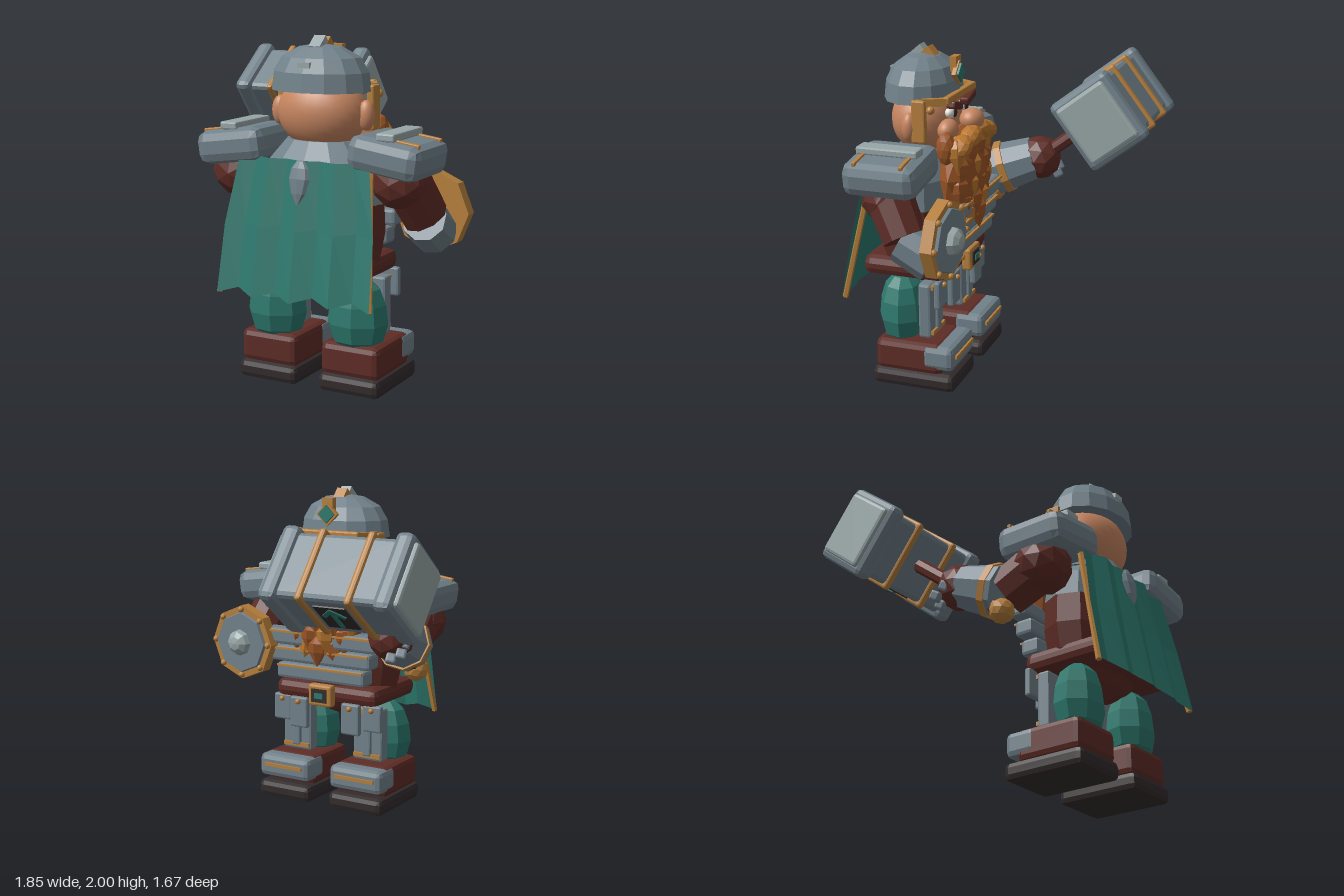
import * as THREE from 'three';
import { RoundedBoxGeometry } from 'three/addons/geometries/RoundedBoxGeometry.js';

const paint = (name, color, extra = {}) => Object.assign(new THREE.MeshStandardMaterial({ color, ...extra }), { name });

export function createModel() {
  const steel = paint('steel', 0x71818a);
  const pale = paint('paleSteel', 0x98a6a7);
  const gold = paint('gold', 0xb67f3c);
  const leather = paint('leather', 0x5e2c26);
  const teal = paint('teal', 0x2d786d, { side: THREE.DoubleSide });
  const skin = paint('skin', 0xc68560);
  const ginger = paint('ginger', 0x9c5526);
  const blond = paint('blond', 0xb8762f);
  const dark = paint('dark', 0x332b2c);
  const white = paint('eyeWhite', 0xe4e2da);

  const model = new THREE.Group();
  model.name = 'hammerWarrior';
  const body = new THREE.Group(); // character, mirrored about its own centre line
  body.name = 'body';
  body.position.x = 0.132;
  model.add(body);

  // Faceted normals for the low-poly parts
  const flat = (g) => {
    const f = g.index ? g.toNonIndexed() : g;
    f.computeVertexNormals();
    return f;
  };
  const add = (parent, name, geo, mat, p, r = [0, 0, 0], s = [1, 1, 1]) => {
    const m = new THREE.Mesh(geo, mat);
    m.name = name;
    m.position.set(...p);
    m.rotation.set(...r);
    m.scale.set(...s);
    parent.add(m);
    return m;
  };
  const rbox = (w, h, d, r = 0.02) => flat(new RoundedBoxGeometry(w, h, d, 1, r));
  const box = (w, h, d) => new THREE.BoxGeometry(w, h, d);
  const smoothBall = new THREE.SphereGeometry(1, 28, 18);
  const rock = flat(new THREE.IcosahedronGeometry(1, 1));
  const limb = (parent, name, a, b, ra, rb, mat, sides = 9) => {
    const A = new THREE.Vector3(...a), B = new THREE.Vector3(...b);
    const m = add(parent, name, flat(new THREE.CylinderGeometry(rb, ra, A.distanceTo(B), sides)), mat,
      A.clone().add(B).multiplyScalar(0.5).toArray());
    m.quaternion.setFromUnitVectors(new THREE.Vector3(0, 1, 0), B.clone().sub(A).normalize());
    return m;
  };
  const lathe = (pts, n) => flat(new THREE.LatheGeometry(pts.map((q) => new THREE.Vector2(...q)), n));

  // Torso: leather below, steel breastplate above
  add(body, 'tunic', lathe([[0.001, 0.53], [0.22, 0.6], [0.37, 0.75], [0.4, 0.9], [0.39, 1.08]], 12), leather, [0, 0, 0.455], [0, 0, 0], [1, 1, 0.63]);
  add(body, 'breastplate', lathe([[0.39, 1.08], [0.36, 1.24], [0.25, 1.38], [0.17, 1.43], [0.001, 1.43]], 12), steel, [0, 0, 0.445], [0, 0, 0], [1, 1, 0.6]);
  add(body, 'collar', flat(new THREE.CylinderGeometry(0.21, 0.33, 0.13, 12)), steel, [0, 1.355, 0.46], [0, 0, 0], [1, 1, 0.62]);
  for (let i = 0; i < 3; i++) {
    const y = 0.85 + i * 0.11, w = 0.64 + i * 0.09;
    add(body, 'bellyPlate', rbox(w, 0.1, 0.12, 0.02), steel, [0, y, 0.2 - i * 0.01]);
    add(body, 'bellyTrim', box(w - 0.02, 0.012, 0.02), gold, [0, y + 0.035, 0.137 - i * 0.01]);
  }

  // Belt and buckle
  add(body, 'belt', rbox(0.74, 0.12, 0.52, 0.045), leather, [0, 0.72, 0.46]);
  add(body, 'buckle', rbox(0.17, 0.14, 0.06, 0.015), gold, [0, 0.715, 0.17]);
  add(body, 'buckleInset', box(0.11, 0.085, 0.008), dark, [0, 0.715, 0.137]);
  add(body, 'buckleGem', box(0.06, 0.035, 0.008), teal, [0, 0.715, 0.131]);

  // Pleated cape with gold edges and a clasp
  const cols = 9, pos = [], idx = [];
  for (let j = 0; j < 3; j++) for (let i = 0; i < cols; i++) {
    const t = j / 2, u = i / 4 - 1, peak = i % 2 === 0;
    pos.push(u * (0.485 - 0.075 * t ** 2.5), (peak ? 0.55 : 0.585) * (1 - t) + 1.325 * t,
      0.83 - 0.145 * t - (peak ? 0 : 0.05 - 0.02 * t) - 0.025 * u * u);
  }
  for (let j = 0; j < 2; j++) for (let i = 0; i < cols - 1; i++) {
    const a = j * cols + i;
    idx.push(a, a + 1, a + cols, a + 1, a + cols + 1, a + cols);
  }
  const capeGeo = new THREE.BufferGeometry();
  capeGeo.setAttribute('position', new THREE.Float32BufferAttribute(pos, 3));
  capeGeo.setIndex(idx);
  add(body, 'cape', flat(capeGeo), teal, [0, 0, 0]);
  add(body, 'capeClasp', lathe([[0.001, -0.13], [0.045, -0.06], [0.066, 0.02], [0.055, 0.08], [0.025, 0.12], [0.001, 0.125]], 8), steel, [0, 1.205, 0.705], [-0.18, 0, 0], [1, 1, 0.4]);

  // Head
  add(body, 'head', smoothBall, skin, [0, 1.57, 0.435], [0, 0, 0], [0.268, 0.215, 0.198]);
  add(body, 'nose', smoothBall, skin, [0, 1.57, 0.155], [0, 0, 0], [0.08, 0.065, 0.072]);

  // Helmet
  add(body, 'helmet', lathe([[0.001, 1.695], [0.3, 1.695], [0.285, 1.8], [0.235, 1.88], [0.13, 1.935], [0.001, 1.955]], 14), steel, [0, 0, 0.45], [0, 0, 0], [1, 1, 0.74]);
  add(body, 'crestBack', box(0.072, 0.09, 0.09), pale, [0, 1.935, 0.468], [0.7, 0, 0]);
  add(body, 'crestFront', box(0.074, 0.085, 0.085), gold, [0, 1.93, 0.415], [0.7, 0, 0]);
  add(body, 'helmetStud', box(0.075, 0.03, 0.03), pale, [0, 1.845, 0.635]);
  add(body, 'browBand', rbox(0.46, 0.045, 0.04, 0.01), gold, [0, 1.72, 0.23]);
  add(body, 'browFinial', box(0.075, 0.13, 0.04), gold, [0, 1.875, 0.255]);
  add(body, 'browSetting', box(0.105, 0.105, 0.025), gold, [0, 1.84, 0.24], [0, 0, Math.PI / 4]);
  add(body, 'browGem', box(0.08, 0.08, 0.03), teal, [0, 1.84, 0.23], [0, 0, Math.PI / 4]);

  // Beard: broad mass covered with large pointed locks
  add(body, 'beardMass', rock, ginger, [0, 1.26, 0.2], [0, 0, 0], [0.295, 0.3, 0.12]);
  const lock = lathe([[0.001, -0.13], [0.06, -0.03], [0.075, 0.03], [0.05, 0.08], [0.001, 0.1]], 6);
  [[1.42, 5, 0.23], [1.31, 4, 0.2], [1.2, 5, 0.21], [1.1, 4, 0.155], [1.02, 3, 0.09]].forEach(([y, n, half], row) => {
    for (let i = 0; i < n; i++) {
      const u = (2 * i) / (n - 1) - 1;
      add(body, 'beardLock', lock, (i + 2 * row) % 3 === 1 ? blond : ginger, [u * half, y, 0.13 + 0.035 * u * u], [0.15, 0, u * 0.2], [1, 0.9, 0.85]);
    }
  });

  for (const s of [-1, 1]) {
    // Face sides
    add(body, 'ear', smoothBall, skin, [s * 0.275, 1.565, 0.435], [0, 0, 0], [0.05, 0.085, 0.045]);
    add(body, 'cheek', smoothBall, skin, [s * 0.14, 1.53, 0.25], [0, 0, 0], [0.08, 0.065, 0.06]);
    add(body, 'eye', smoothBall, white, [s * 0.1, 1.625, 0.25], [0, 0, 0], [0.045, 0.034, 0.03]);
    add(body, 'pupil', smoothBall, dark, [s * 0.095, 1.625, 0.225], [0, 0, 0], [0.024, 0.026, 0.012]);
    add(body, 'eyebrow', rbox(0.14, 0.045, 0.06, 0.012), leather, [s * 0.11, 1.672, 0.22], [0, 0, s * 0.25]);
    add(body, 'moustacheInner', rock, blond, [s * 0.09, 1.49, 0.13], [0, 0, -s * 0.3], [0.105, 0.06, 0.065]);
    add(body, 'moustacheOuter', rock, blond, [s * 0.21, 1.46, 0.145], [0, 0, -s * 0.5], [0.085, 0.055, 0.07]);
    add(body, 'sideburn', rock, ginger, [s * 0.255, 1.45, 0.22], [0, 0, 0], [0.05, 0.1, 0.06]);
    add(body, 'cheekGuard', rbox(0.045, 0.25, 0.085, 0.01), gold, [s * 0.287, 1.605, 0.37]);
    add(body, 'templeStud', rock, gold, [s * 0.285, 1.675, 0.3], [0, 0, 0], [0.025, 0.025, 0.025]);
    add(body, 'templeBand', box(0.03, 0.045, 0.14), gold, [s * 0.25, 1.715, 0.29], [0, s * 0.5, 0]);

    // Pauldron with ridge and trim
    const p = new THREE.Group();
    p.name = 'pauldron';
    p.position.set(s * 0.485, 1.368, 0.465);
    p.rotation.z = -s * 0.14;
    body.add(p);
    add(p, 'pauldronPlate', rbox(0.435, 0.195, 0.445, 0.06), steel, [0, 0, 0]);
    add(p, 'pauldronRidge', rbox(0.11, 0.045, 0.37, 0.01), pale, [-s * 0.005, 0.114, 0], [0, 0, s * 0.13]);
    for (const z of [-0.14, 0.14]) add(p, 'pauldronTrim', rbox(0.14, 0.025, 0.025, 0.006), gold, [s * 0.115, 0.097, z]);
    limb(body, 'capeEdge', [s * 0.478, 0.55, 0.785], [s * 0.4, 1.31, 0.625], 0.018, 0.018, gold, 5);

    // Legs, boots and shin armour
    const x = s * 0.263;
    add(body, 'trouserLeg', lathe([[0.09, 0.25], [0.15, 0.3], [0.178, 0.4], [0.165, 0.51], [0.13, 0.6], [0.07, 0.65], [0.001, 0.67]], 8), teal, [x, 0, 0.505], [0, 0.2, 0], [1, 1, 0.82]);
    add(body, 'sole', rbox(0.385, 0.11, 0.52, 0.035), dark, [x, 0.055, 0.38]);
    add(body, 'boot', rbox(0.365, 0.19, 0.42, 0.035), leather, [x, 0.195, 0.41]);
    add(body, 'toeCap', rbox(0.376, 0.15, 0.2, 0.035), steel, [x, 0.21, 0.225]);
    add(body, 'toeTrim', box(0.28, 0.022, 0.02), gold, [x, 0.22, 0.122]);
    add(body, 'shinGuard', rbox(0.21, 0.34, 0.08, 0.015), steel, [x, 0.47, 0.33]);
    add(body, 'shinRidge', rbox(0.06, 0.28, 0.03, 0.01), steel, [x, 0.47, 0.285]);
    for (const y of [0.335, 0.62]) add(body, 'shinTrim', box(0.19, 0.025, 0.03), gold, [x, y, 0.29]);
    [[0.19, 0.2, 0.21], [0.33, 0.17, 0.24]].forEach(([tx, h, z]) => {
      add(body, 'tasset', rbox(0.13, h, 0.04, 0.012), steel, [s * tx, 0.675 - h / 2, z]);
      add(body, 'tassetRivet', rock, gold, [s * tx, 0.645, z - 0.025], [0, 0, 0], [0.018, 0.018, 0.018]);
    });
  }

  // Shield arm
  add(model, 'shieldShoulder', rock, leather, [0.64, 1.22, 0.47], [0, 0, 0], [0.17, 0.16, 0.16]);
  limb(model, 'shieldUpperArm', [0.66, 1.24, 0.47], [0.73, 1.01, 0.34], 0.14, 0.13, leather);
  limb(model, 'shieldBracer', [0.73, 1.0, 0.36], [0.71, 0.9, 0.18], 0.128, 0.14, steel);
  add(model, 'shieldHand', rock, leather, [0.7, 0.93, 0.2], [0, 0, 0], [0.1, 0.1, 0.08]);

  // Shield facing -z, turned slightly outward
  const shield = new THREE.Group();
  shield.name = 'shield';
  shield.position.set(0.682, 1.01, 0.125);
  shield.rotation.set(-Math.PI / 2, 0, -0.07);
  model.add(shield);
  const disc = (r1, r2, h) => flat(new THREE.CylinderGeometry(r1, r2, h, 8).rotateY(Math.PI / 2));
  add(shield, 'shieldRim', disc(0.238, 0.24, 0.07), gold, [0, 0, 0]);
  add(shield, 'shieldFace', disc(0.19, 0.2, 0.026), steel, [0, 0.04, 0]);
  add(shield, 'shieldBoss', flat(new THREE.SphereGeometry(1, 8, 6)), pale, [0, 0.055, 0], [0, 0, 0], [0.085, 0.065, 0.085]);
  for (let i = 0; i < 8; i++) {
    const a = (i * Math.PI) / 4;
    add(shield, 'shieldRivet', rock, gold, [Math.cos(a) * 0.212, 0.04, Math.sin(a) * 0.212], [0, 0, 0], [0.02, 0.02, 0.02]);
  }

  // Hammer arm
  add(model, 'hammerShoulder', rock, leather, [-0.39, 1.2, 0.45], [0, 0, 0], [0.18, 0.16, 0.17]);
  limb(model, 'hammerUpperArm', [-0.39, 1.22, 0.45], [-0.44, 1.08, 0.22], 0.15, 0.14, leather);
  limb(model, 'hammerBracer', [-0.445, 1.09, 0.21], [-0.49, 1.18, -0.04], 0.165, 0.135, steel);
  limb(model, 'bracerBand', [-0.448, 1.105, 0.17], [-0.457, 1.12, 0.13], 0.172, 0.168, gold);
  add(model, 'hammerFist', rock, leather, [-0.495, 1.185, -0.07], [0, 0, 0], [0.137, 0.14, 0.137]);
  for (const [x, y, z] of [[-0.61, 1.11, -0.16], [-0.6, 1.16, -0.1], [-0.55, 1.08, -0.17]]) {
    add(model, 'knuckleGuard', rbox(0.06, 0.06, 0.06, 0.012), steel, [x, y, z], [0.5, 0.4, 0]);
  }

  // Hammer: local y runs along the handle
  const hammer = new THREE.Group();
  hammer.name = 'hammer';
  hammer.position.set(-0.495, 1.55, -0.543);
  hammer.rotation.x = -0.91;
  model.add(hammer);
  add(hammer, 'handle', flat(new THREE.CylinderGeometry(0.043, 0.043, 0.95, 8)), leather, [0, -0.49, 0]);
  add(hammer, 'pommel', rock, gold, [0, -0.99, 0], [0, 0, 0], [0.076, 0.076, 0.076]);
  add(hammer, 'hammerBarrel', rbox(0.66, 0.365, 0.41, 0.03), steel, [0, 0, 0]);
  for (const s of [-1, 1]) {
    add(hammer, 'hammerEnd', rbox(0.11, 0.42, 0.472, 0.035), steel, [s * 0.355, 0, 0]);
    add(hammer, 'hammerFace', rbox(0.06, 0.345, 0.39, 0.02), pale, [s * 0.405, 0, 0]);
    add(hammer, 'hammerBand', rbox(0.042, 0.405, 0.45, 0.015), gold, [s * 0.153, 0, 0]);
  }

  // Inlaid arrow ornament on the underside of the hammer
  add(hammer, 'inlayPlate', box(0.2, 0.22, 0.009), dark, [0, 0, -0.209]);
  add(hammer, 'inlayStem', box(0.026, 0.17, 0.009), teal, [0, -0.005, -0.217]);
  for (const s of [-1, 1]) add(hammer, 'inlayBarb', box(0.026, 0.1, 0.009), teal, [s * 0.032, 0.05, -0.217], [0, 0, s * 0.8]);

  return model;
}
